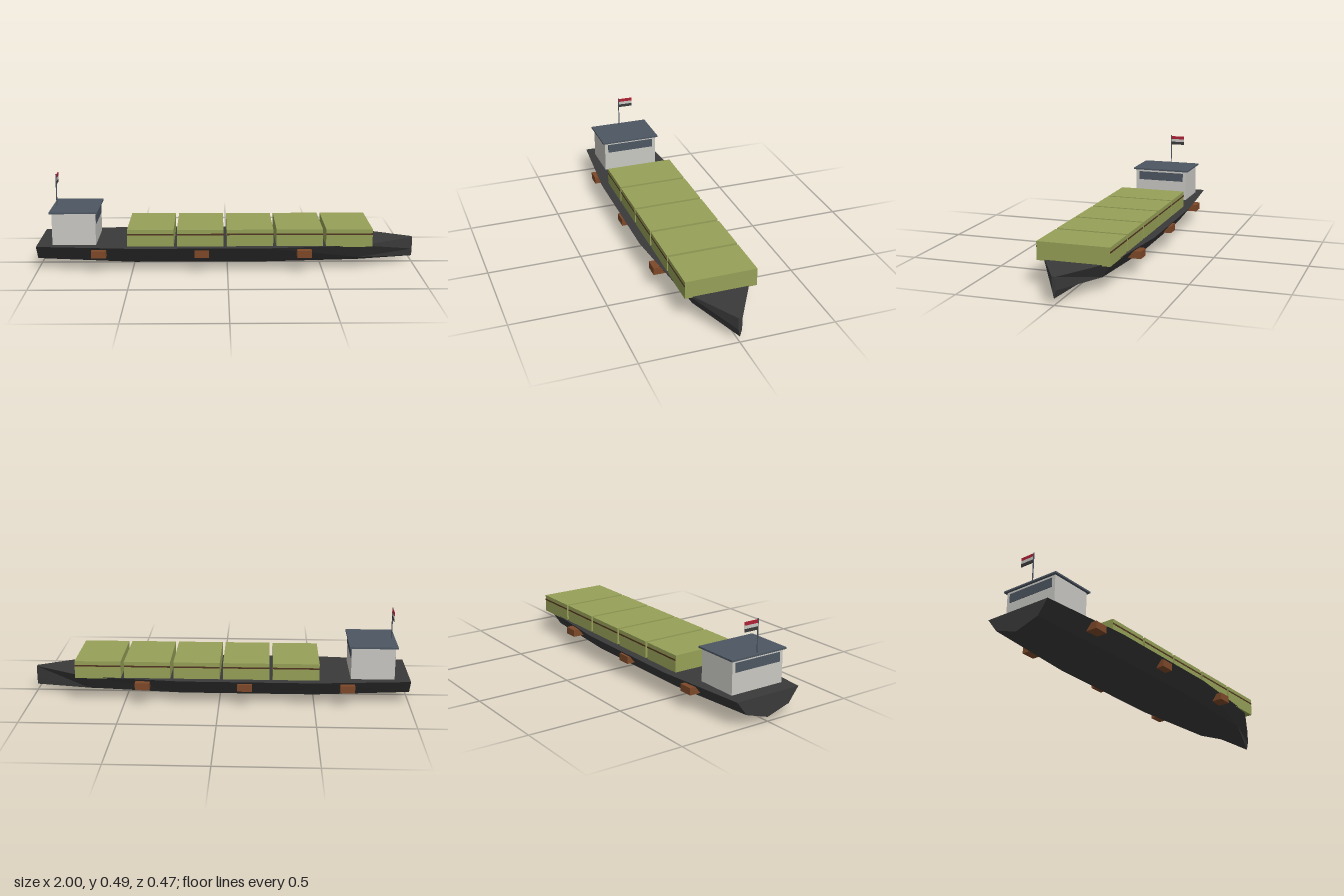
import * as THREE from 'three';

const paint = (name, color) => {
  const m = new THREE.MeshStandardMaterial({ color });
  m.name = name;
  return m;
};

// Hull lofted through five-point sections: deck edge, chine, keel, chine, deck edge
function hullGeometry(stations, deckY) {
  const rings = stations.map(([x, deckZ, chineZ, chineY, keelY]) => [
    [x, deckY, deckZ], [x, chineY, chineZ], [x, keelY, 0], [x, chineY, -chineZ], [x, deckY, -deckZ],
  ]);
  const pos = [];
  const tri = (a, b, c) => pos.push(...a, ...b, ...c);
  for (let i = 0; i < rings.length - 1; i++) {
    for (let j = 0; j < 5; j++) {
      const k = (j + 1) % 5;
      const a = rings[i][j], b = rings[i][k], c = rings[i + 1][k], d = rings[i + 1][j];
      tri(a, b, c);
      tri(a, c, d);
    }
  }
  // Transom and stem caps
  const stern = rings[0], bow = rings[rings.length - 1];
  for (let j = 1; j < 4; j++) {
    tri(stern[0], stern[j + 1], stern[j]);
    tri(bow[0], bow[j], bow[j + 1]);
  }
  const g = new THREE.BufferGeometry();
  g.setAttribute('position', new THREE.Float32BufferAttribute(pos, 3));
  g.computeVertexNormals();
  return g;
}

export function createModel() {
  const boat = new THREE.Group();
  boat.name = 'cargoBarge';

  const charcoal = paint('charcoal', 0x3b3a3a);
  const green = paint('containerGreen', 0x96a057);
  const brown = paint('fenderBrown', 0x7e4929);
  const seam = paint('seamBrown', 0x523522);
  const white = paint('cabinWhite', 0xc9c8c3);
  const slate = paint('slate', 0x4d5662);
  const red = paint('flagRed', 0xb02035);

  const add = (name, geometry, material, parent = boat) => {
    const mesh = new THREE.Mesh(geometry, material);
    mesh.name = name;
    parent.add(mesh);
    return mesh;
  };
  // Box given by its minimum and maximum corners
  const box = (name, material, [x0, y0, z0], [x1, y1, z1], parent) => {
    const mesh = add(name, new THREE.BoxGeometry(x1 - x0, y1 - y0, z1 - z0), material, parent);
    mesh.position.set((x0 + x1) / 2, (y0 + y1) / 2, (z0 + z1) / 2);
    return mesh;
  };

  // Hull: x, deck half width, chine half width, chine height, keel height
  add('hull', hullGeometry([
    [-1, 0.188, 0.13, 0.065, 0.025],
    [-0.5, 0.232, 0.163, 0.055, 0.003],
    [0.2, 0.232, 0.163, 0.055, 0.003],
    [0.7, 0.178, 0.126, 0.062, 0.015],
    [1, 0.01, 0.009, 0.075, 0.035],
  ], 0.14), charcoal);

  // Row of containers with a seam along each long side
  const cargo = new THREE.Group();
  cargo.name = 'containers';
  boat.add(cargo);
  for (let i = 0; i < 5; i++) {
    const x = -0.524 + i * 0.26;
    box('container', green, [x, 0.135, -0.187], [x + 0.243, 0.229, 0.187], cargo);
    for (const s of [-1, 1]) {
      const strip = box('containerSeam', seam, [x, 0.2, -0.001], [x + 0.243, 0.208, 0.001], cargo);
      strip.position.z = s * 0.1875;
    }
  }

  // Wheelhouse with windows fore and aft
  const cabin = new THREE.Group();
  cabin.name = 'wheelhouse';
  boat.add(cabin);
  box('cabinWalls', white, [-0.918, 0.138, -0.154], [-0.69, 0.31, 0.154], cabin);
  box('cabinRoof', slate, [-0.93, 0.31, -0.167], [-0.678, 0.319, 0.167], cabin);
  for (const x of [-0.918, -0.69]) {
    box('cabinWindow', slate, [x - 0.003, 0.25, -0.135], [x + 0.003, 0.298, 0.135], cabin);
  }

  // Flagpole and three-striped flag
  const pole = add('flagpole', new THREE.CylinderGeometry(0.003, 0.003, 0.17, 8), slate);
  pole.position.set(-0.91, 0.403, 0);
  [charcoal, white, red].forEach((material, i) => {
    const y = 0.433 + i * 0.0167;
    box('flagStripe', material, [-0.912, y, -0.08], [-0.908, y + 0.0167, -0.001]);
  });

  // Fenders along both sides
  for (const x of [-0.67, -0.135, 0.4]) {
    for (const s of [-1, 1]) {
      const fender = box('fender', brown, [x - 0.038, 0.09, -0.036], [x + 0.038, 0.128, 0.036]);
      fender.position.z = s * 0.2;
    }
  }

  return boat;
}
